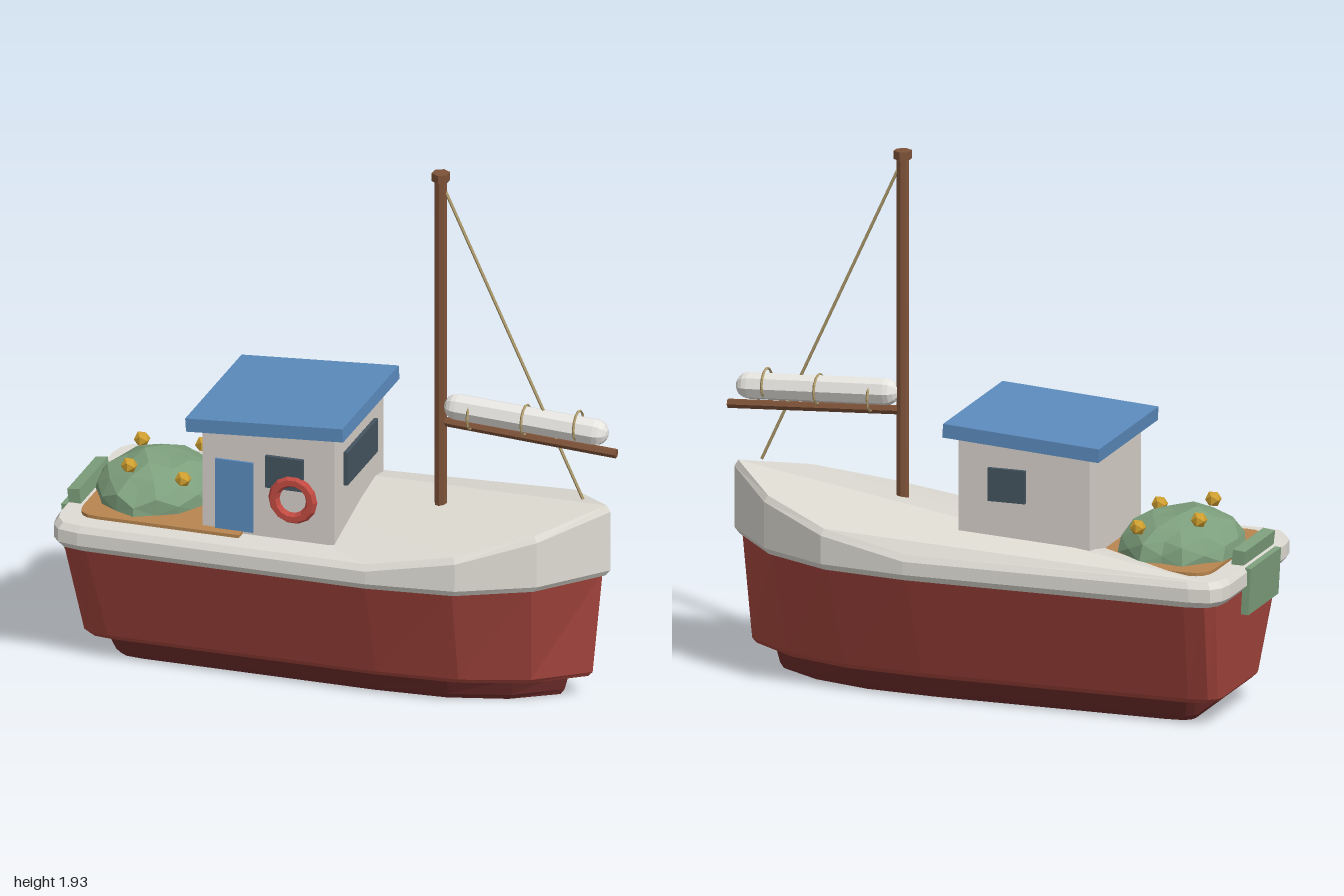
import * as THREE from 'three';

const mat = (color) => new THREE.MeshStandardMaterial({ color, flatShading: true });
const RED = mat(0xa5453d), DARK_RED = mat(0x6e2d2b), WHITE = mat(0xdedbd3), WALL = mat(0xd6cfc8);
const BLUE = mat(0x5b8bbd), GLASS = mat(0x44545f), WOOD = mat(0x7d5238), GREEN = mat(0x7d9f7c);
const DECK = mat(0xb8854f), YELLOW = mat(0xd0a030), ROPE = mat(0xae9b6c), RING = mat(0xc04a42);
const CANVAS = mat(0xe6e4df);

// Plan outline of the boat [x, z], counter-clockwise from above, bow at +x
const OUTLINE = [
  [-0.945, -0.385], [-0.975, -0.345], [-0.985, -0.29], [-0.985, 0.29], [-0.975, 0.345], [-0.945, 0.385],
  [-0.87, 0.4], [0.2, 0.4], [0.52, 0.362], [0.78, 0.23], [0.975, 0],
  [0.78, -0.23], [0.52, -0.362], [0.2, -0.4], [-0.87, -0.4],
];

// Rise of the rim towards the bow
function sheer(x) {
  const pts = [[-2, 0], [0.2, 0], [0.52, 0.055], [0.78, 0.12], [0.975, 0.175]];
  for (let i = 1; i < pts.length; i++) {
    const [x0, y0] = pts[i - 1], [x1, y1] = pts[i];
    if (x <= x1) return y0 + (y1 - y0) * (x - x0) / (x1 - x0);
  }
  return 0.175;
}

// Stack of scaled outlines, closed at both ends; level = [y, scaleX, scaleZ, follows sheer]
function loft(levels) {
  const n = OUTLINE.length, pos = [], idx = [];
  for (const [y, sx, sz, rise] of levels) {
    for (const [x, z] of OUTLINE) pos.push(x * sx, y + (rise ? sheer(x) : 0), z * sz);
  }
  for (let l = 0; l < levels.length - 1; l++) {
    for (let i = 0; i < n; i++) {
      const a = l * n + i, b = l * n + (i + 1) % n;
      idx.push(a, b, b + n, a, b + n, a + n);
    }
  }
  const top = (levels.length - 1) * n;
  for (let i = 1; i < n - 1; i++) idx.push(0, i + 1, i, top, top + i, top + i + 1);
  const g = new THREE.BufferGeometry();
  g.setAttribute('position', new THREE.Float32BufferAttribute(pos, 3));
  g.setIndex(idx);
  const flat = g.toNonIndexed();
  flat.computeVertexNormals();
  return flat;
}

export function createModel() {
  const boat = new THREE.Group();
  boat.name = 'fishingBoat';

  const add = (name, geometry, material, x = 0, y = 0, z = 0, parent = boat) => {
    const m = new THREE.Mesh(geometry, material);
    m.name = name;
    m.position.set(x, y, z);
    parent.add(m);
    return m;
  };
  const box = (name, material, w, h, d, x, y, z) =>
    add(name, new THREE.BoxGeometry(w, h, d), material, x, y, z);
  // Round bar between two points
  const bar = (name, material, a, b, r, sides) => {
    const p = new THREE.Vector3(...a), q = new THREE.Vector3(...b), d = q.clone().sub(p);
    const m = add(name, new THREE.CylinderGeometry(r, r, d.length(), sides), material);
    m.position.copy(p).add(q).multiplyScalar(0.5);
    m.quaternion.setFromUnitVectors(new THREE.Vector3(0, 1, 0), d.normalize());
    return m;
  };

  // Hull, keel and white gunwale with the foredeck
  add('keel', loft([[0, 0.81, 0.44], [0.02, 0.825, 0.48], [0.09, 0.845, 0.575]]), DARK_RED);
  add('hull', loft([[0.083, 0.915, 0.575], [0.1, 0.932, 0.605], [0.485, 0.97, 0.965]]), RED);
  add('gunwale', loft([
    [0.475, 0.98, 0.97], [0.497, 1, 1], [0.545, 1, 1, true], [0.568, 0.985, 0.965, true],
  ]), WHITE);

  // Wooden aft deck with rounded stern corners
  const deck = new THREE.Shape();
  deck.moveTo(-0.3, -0.31);
  deck.lineTo(-0.3, 0.31);
  deck.lineTo(-0.83, 0.31);
  deck.quadraticCurveTo(-0.905, 0.31, -0.905, 0.23);
  deck.lineTo(-0.905, -0.23);
  deck.quadraticCurveTo(-0.905, -0.31, -0.83, -0.31);
  const deckGeo = new THREE.ExtrudeGeometry(deck, { depth: 0.03, bevelEnabled: false, curveSegments: 4 });
  add('aftDeck', deckGeo.rotateX(-Math.PI / 2), DECK, 0, 0.55, 0);

  // Wheelhouse: walls with a sloping top, roof, door and windows
  const walls = new THREE.BoxGeometry(0.49, 0.4, 0.53);
  const wp = walls.attributes.position;
  for (let i = 0; i < wp.count; i++) {
    if (wp.getY(i) > 0) wp.setY(i, wp.getY(i) + 0.068 * wp.getX(i));
  }
  walls.computeVertexNormals();
  add('wheelhouseWalls', walls, WALL, -0.205, 0.768, 0);
  box('wheelhouseRoof', BLUE, 0.585, 0.05, 0.61, -0.207, 0.99, 0).rotation.z = 0.066;
  box('door', BLUE, 0.14, 0.265, 0.016, -0.33, 0.712, 0.266);
  for (const s of [1, -1]) box('sideWindow', GLASS, 0.14, 0.12, 0.03, -0.143, 0.822, s * 0.265);
  box('frontWindow', GLASS, 0.03, 0.125, 0.33, 0.04, 0.822, 0);

  // Lifebuoy on the wheelhouse side
  add('lifebuoy', new THREE.TorusGeometry(0.07, 0.021, 6, 14), RING, -0.11, 0.728, 0.277);

  // Heaped net: faceted dome with uneven radius
  const net = new THREE.IcosahedronGeometry(1, 2);
  const np = net.attributes.position, v = new THREE.Vector3();
  for (let i = 0; i < np.count; i++) {
    v.fromBufferAttribute(np, i).normalize();
    const bump = 0.98 + 0.07 * Math.sin(7 * v.x + 2 * v.z) * Math.cos(6 * v.z - 3 * v.y);
    np.setXYZ(i, v.x * bump * 0.222, Math.max(v.y, -0.1) * bump * 0.15, v.z * bump * 0.262);
  }
  net.computeVertexNormals();
  add('netPile', net, GREEN, -0.705, 0.578, 0.01);
  const floats = [[-0.8, 0.715, -0.1], [-0.6, 0.69, -0.18], [-0.76, 0.722, 0.155], [-0.565, 0.69, 0.14]];
  for (const [x, y, z] of floats) add('netFloat', new THREE.IcosahedronGeometry(0.03, 0), YELLOW, x, y, z);

  // Net end draped over the stern
  box('netOverRim', GREEN, 0.045, 0.075, 0.31, -0.95, 0.583, 0.04).rotation.z = 0.12;
  box('netHanging', GREEN, 0.028, 0.17, 0.31, -0.98, 0.474, 0.04).rotation.z = 0.06;

  // Mast, boom and stay
  bar('mast', WOOD, [0.345, 0.6, 0], [0.345, 1.91, 0], 0.023, 8);
  add('mastCap', new THREE.CylinderGeometry(0.033, 0.033, 0.03, 6), WOOD, 0.345, 1.913, 0);
  bar('boom', WOOD, [0.345, 0.982, 0], [0.998, 0.945, 0], 0.017, 6);
  bar('stay', ROPE, [0.355, 1.875, 0], [0.873, 0.755, 0], 0.006, 5);

  // Furled sail with its ties
  const sail = add('furledSail', new THREE.CapsuleGeometry(0.049, 0.51, 4, 8), CANVAS, 0.663, 1.03, 0);
  sail.rotation.z = Math.PI / 2 - 0.05;
  for (const [x, y] of [[0.46, 1.022], [0.66, 1.028], [0.855, 1.032]]) {
    const tie = add('sailTie', new THREE.TorusGeometry(0.054, 0.005, 4, 12), ROPE, x, y, 0);
    tie.rotation.y = Math.PI / 2;
  }

  return boat;
}
